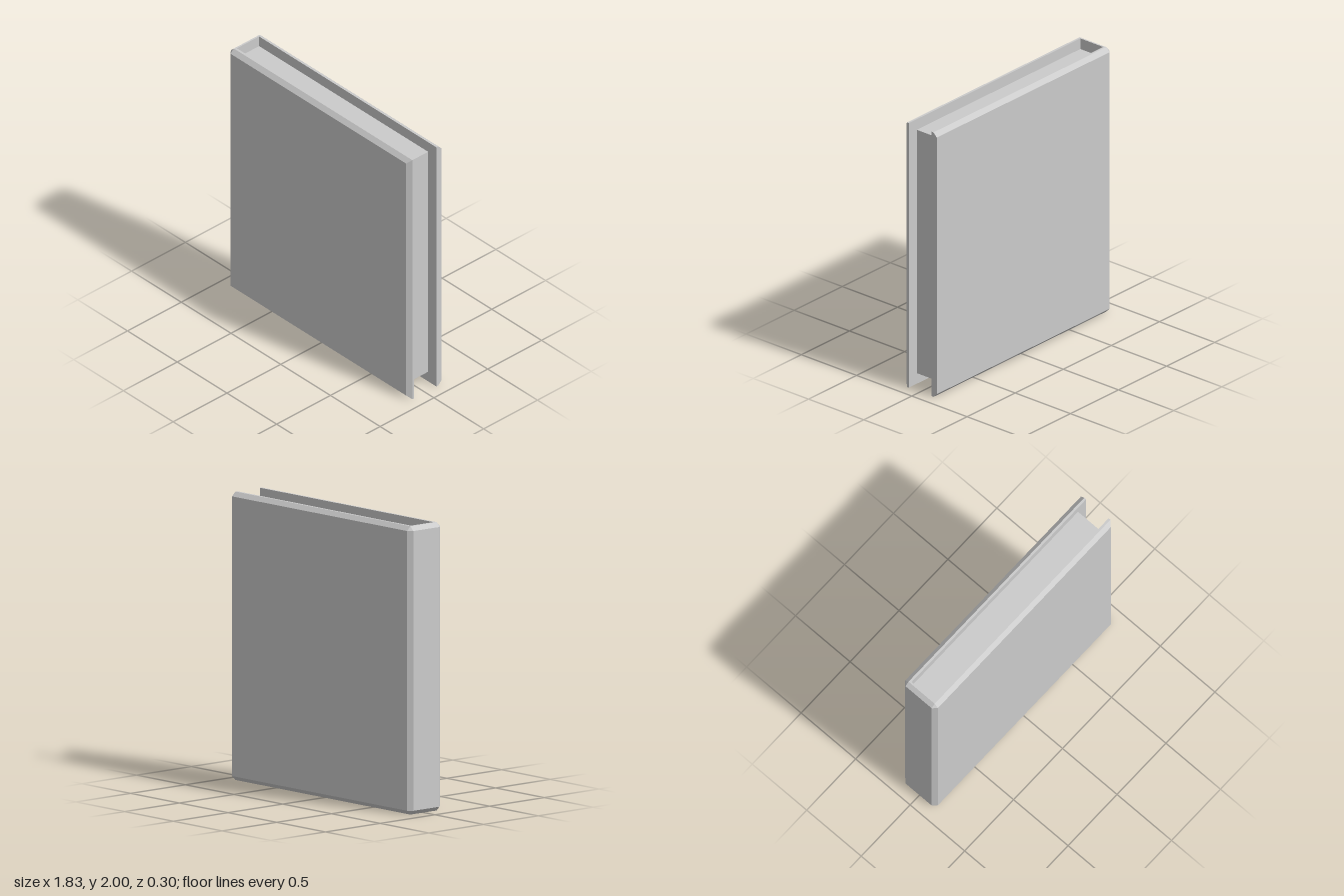
import * as THREE from 'three';
import { ConvexGeometry } from 'three/addons/geometries/ConvexGeometry.js';

const H = 2, X = 0.913, Z = 0.15; // height, half width, half thickness
const B = 0.03;                   // bevel of the outer edges
const INNER_Z = 0.103;            // inside face of the boards
const SPINE_X = -0.87;            // inside face of the spine

export function createModel() {
  const group = new THREE.Group();
  group.name = 'book';
  const material = new THREE.MeshStandardMaterial({ color: 0xcccccc, flatShading: true });

  function add(name, geometry) {
    const mesh = new THREE.Mesh(geometry, material);
    mesh.name = name;
    group.add(mesh);
    return mesh;
  }

  // Top and bottom points at one x and z, inset from the full height
  const pair = (x, z, inset) => [
    new THREE.Vector3(x, inset, z),
    new THREE.Vector3(x, H - inset, z),
  ];

  // Cover board on side s; outerX is where its outer face ends
  function board(name, s, outerX) {
    add(name, new ConvexGeometry([
      ...pair(SPINE_X, s * INNER_Z, 0), ...pair(X, s * INNER_Z, 0),
      ...pair(SPINE_X, s * (Z - B), 0), ...pair(X, s * (Z - B), 0),
      ...pair(SPINE_X, s * Z, B), ...pair(outerX, s * Z, B),
    ]));
  }
  board('frontCover', 1, X - B); // fore edge bevelled
  board('backCover', -1, X);     // fore edge square

  // Spine with bevelled edges and corners
  const spine = [];
  for (const s of [-1, 1]) {
    spine.push(...pair(-X, s * (Z - B), B));
    for (const x of [-X + B, SPINE_X]) {
      spine.push(...pair(x, s * (Z - B), 0), ...pair(x, s * Z, B));
    }
  }
  add('spine', new ConvexGeometry(spine));

  // Page block, set back from the cover on three sides
  const pageRight = 0.83;
  add('pages', new THREE.BoxGeometry(pageRight - SPINE_X, 1.84, 2 * INNER_Z))
    .position.set((pageRight + SPINE_X) / 2, H / 2, 0);

  return group;
}
